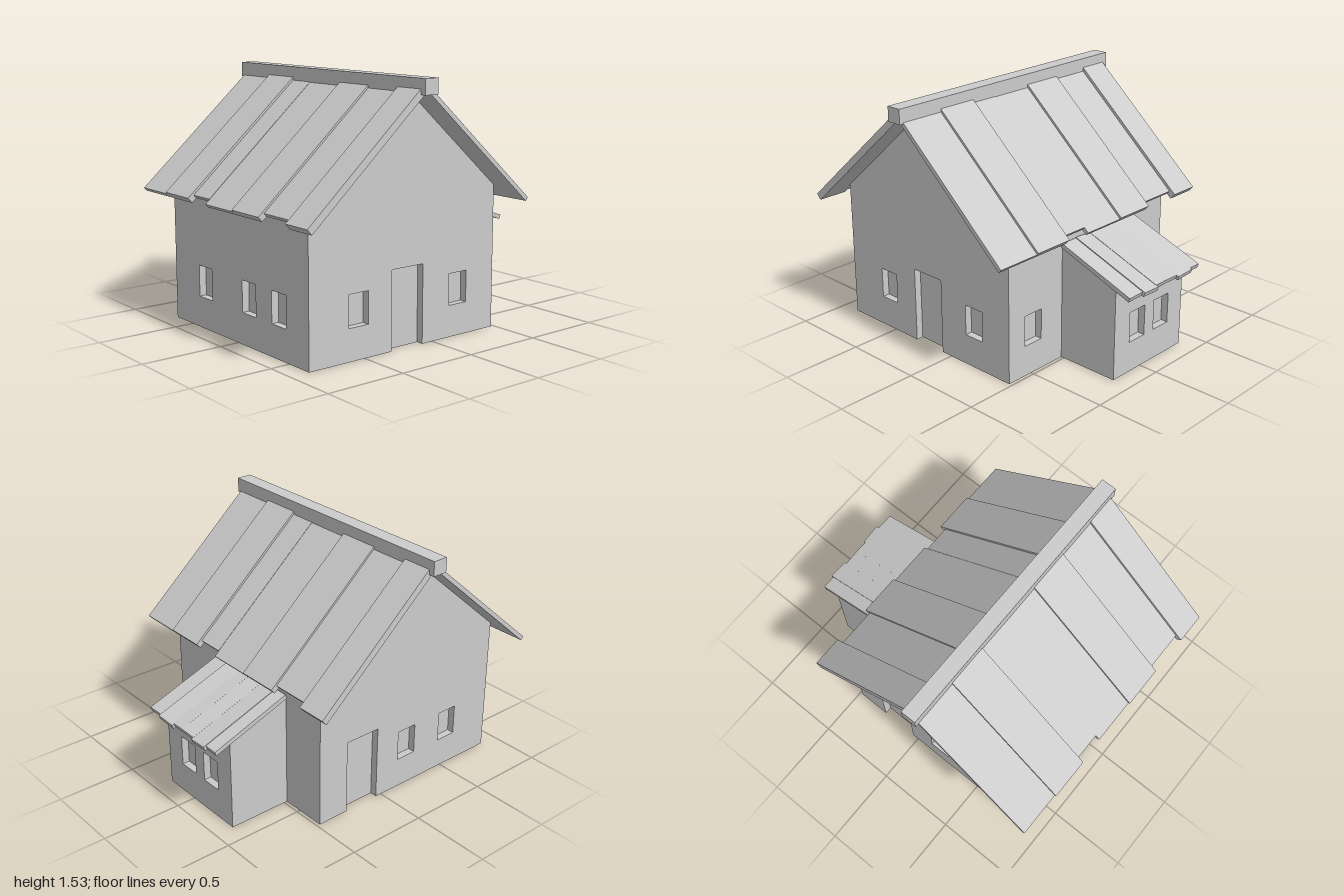
import * as THREE from 'three';

const material = new THREE.MeshStandardMaterial({
  color: 0xcccccc, flatShading: true, side: THREE.DoubleSide,
});
const RECESS = 0.045;
const WINDOW_LOW = 0.19, WINDOW_HIGH = 0.38, DOOR_HIGH = 0.47;
const CENTRE = -0.2, HALF = 0.68;         // main house
const APEX = 1.46, PITCH = 0.877;         // main roof underside
const LEAN_TOP = 0.71, LEAN_PITCH = 0.36; // annex roof underside
const EAVES = APEX - HALF * PITCH;

function addMesh(parent, name, geometry) {
  const mesh = new THREE.Mesh(geometry, material);
  mesh.name = name;
  parent.add(mesh);
  return mesh;
}

// Shallow pocket behind an opening: no front, and no sill for a door
function pocket(u0, u1, v0, v1, isDoor) {
  const geometry = new THREE.BoxGeometry(u1 - u0, v1 - v0, RECESS);
  geometry.translate((u0 + u1) / 2, (v0 + v1) / 2, -RECESS / 2);
  const index = Array.from(geometry.index.array);
  index.splice(isDoor ? 18 : 24, isDoor ? 12 : 6);
  geometry.setIndex(index);
  geometry.clearGroups();
  return geometry;
}

// Thin wall facing local +z. top: points of the upper edge, right to left
function makeWall(name, top, windows = [], door = null) {
  const group = new THREE.Group();
  group.name = name;
  const left = top[top.length - 1][0], right = top[0][0];
  const outline = [[left, 0]];
  if (door) {
    outline.push([door[0], 0], [door[0], DOOR_HIGH], [door[1], DOOR_HIGH], [door[1], 0]);
    addMesh(group, 'door', pocket(door[0], door[1], 0, DOOR_HIGH, true));
  }
  outline.push([right, 0], ...top);
  const shape = new THREE.Shape(outline.map(([u, v]) => new THREE.Vector2(u, v)));
  for (const [a, b] of windows) {
    shape.holes.push(new THREE.Path([
      new THREE.Vector2(a, WINDOW_LOW), new THREE.Vector2(a, WINDOW_HIGH),
      new THREE.Vector2(b, WINDOW_HIGH), new THREE.Vector2(b, WINDOW_LOW),
    ]));
    addMesh(group, 'window', pocket(a, b, WINDOW_LOW, WINDOW_HIGH, false));
  }
  addMesh(group, 'wallPanel', new THREE.ShapeGeometry(shape));
  return group;
}

function place(parent, object, x, z, turn) {
  object.position.set(x, 0, z);
  object.rotation.y = turn;
  parent.add(object);
}

// Row of planks falling towards local +x. Each: [z0, z1, length, thickness, roll]
function makeSlope(name, pitch, planks) {
  const slope = new THREE.Group();
  slope.name = name;
  slope.rotation.z = -Math.atan(pitch);
  for (const [z0, z1, length, thickness, roll = 0] of planks) {
    const geometry = new THREE.BoxGeometry(length, thickness, Math.abs(z1 - z0));
    geometry.translate(length / 2, thickness / 2, 0);
    const plank = addMesh(slope, 'roofPlank', geometry);
    plank.position.z = (z0 + z1) / 2;
    plank.rotation.x = roll;
  }
  return slope;
}

export function createModel() {
  const model = new THREE.Group();
  model.name = 'house';
  const { PI } = Math;

  // Main house walls
  const gable = [[HALF, EAVES], [0, APEX], [-HALF, EAVES]];
  const flat = [[HALF, EAVES], [-HALF, EAVES]];
  place(model, makeWall('frontWall', gable, [[-0.41, -0.275], [0.33, 0.465]], [-0.105, 0.125]),
    CENTRE, HALF, 0);
  place(model, makeWall('backWall', gable, [[-0.07, 0.065], [0.27, 0.405]], [-0.475, -0.24]),
    CENTRE, -HALF, PI);
  place(model, makeWall('leftWall', flat, [[-0.55, -0.415]]), CENTRE + HALF, 0, PI / 2);
  place(model, makeWall('rightWall', flat, [[-0.41, -0.27], [0.05, 0.185], [0.34, 0.475]]),
    CENTRE - HALF, 0, -PI / 2);

  // Annex walls
  const annexX = CENTRE + HALF, depth = 0.4, annexZ = -0.07, half = 0.31;
  const low = LEAN_TOP - depth * LEAN_PITCH;
  place(model, makeWall('annexFrontWall', [[depth, low], [0, LEAN_TOP]]),
    annexX, annexZ + half, 0);
  place(model, makeWall('annexBackWall', [[0, LEAN_TOP], [-depth, low]]),
    annexX, annexZ - half, PI);
  place(model, makeWall('annexSideWall', [[half, low], [-half, low]],
    [[-0.175, -0.04], [0.045, 0.18]]), annexX + depth, annexZ, PI / 2);

  // Main roof: the same uneven planks on both slopes, turned half way round
  const planks = [
    [0.85, 0.57, 1.03, 0.026], [0.57, 0.315, 1.03, 0.04], [0.315, 0.145, 0.992, 0.026],
    [0.145, -0.14, 1.03, 0.024], [-0.14, -0.4, 1.03, 0.038],
    [-0.4, -0.65, 0.992, 0.026], [-0.65, -0.84, 1.03, 0.044],
  ];
  for (const [name, turn] of [['leftRoof', 0], ['rightRoof', PI]]) {
    const side = new THREE.Group();
    side.name = name;
    side.add(makeSlope('roofSlope', PITCH, planks));
    place(model, side, CENTRE, 0, turn);
    side.position.y = APEX;
  }

  // Ridge beam
  addMesh(model, 'ridgeBeam', new THREE.BoxGeometry(0.095, 0.09, 1.75))
    .position.set(CENTRE, 1.49, 0);

  // Annex roof
  const annexRoof = makeSlope('annexRoof', LEAN_PITCH, [
    [0.25, 0.135, 0.53, 0.028, 0.02], [0.14, 0.01, 0.545, 0.03, -0.07],
    [0.015, -0.075, 0.53, 0.029, 0.02], [-0.07, -0.18, 0.53, 0.027, -0.05],
    [-0.18, -0.305, 0.545, 0.028, 0.07], [-0.3, -0.388, 0.53, 0.028, -0.02],
  ]);
  annexRoof.position.set(annexX, LEAN_TOP, 0);
  model.add(annexRoof);

  return model;
}
